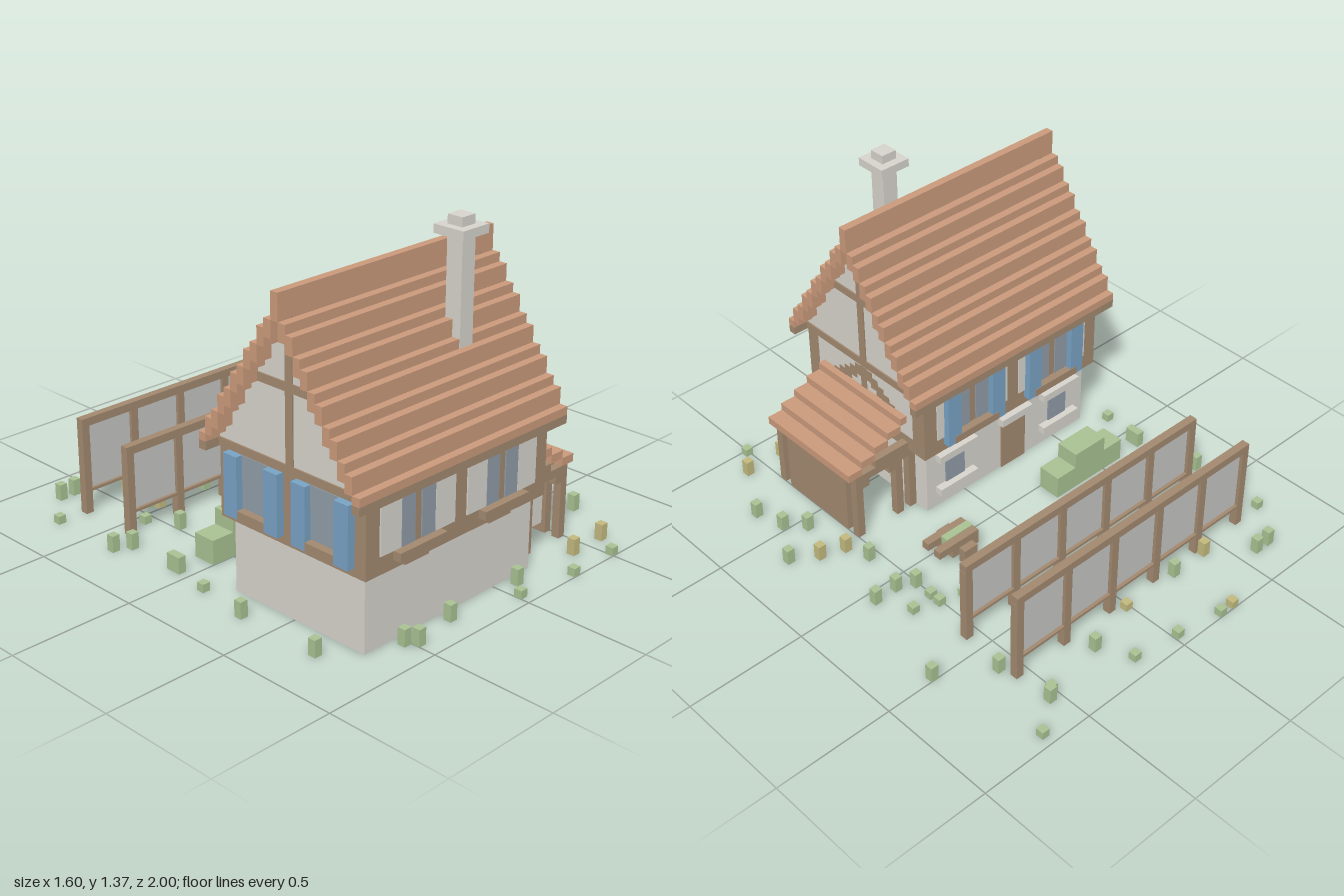
import * as THREE from 'three';

export function createModel() {
  const model = new THREE.Group();
  const paint = (name, color) => {
    const m = new THREE.MeshStandardMaterial({ color });
    m.name = name;
    return m;
  };
  const stone = paint('stone', 0xd6d3cb);
  const timber = paint('timber', 0xa2896f);
  const tile = paint('roofTile', 0xca9a7b);
  const glass = paint('glass', 0x909ca6);
  const blue = paint('shutterBlue', 0x78a2c4);
  const panel = paint('fencePanel', 0xc4c4c2);
  const green = paint('leaf', 0xa8c192);
  const straw = paint('straw', 0xc2b97e);

  // Box given by its limits on each axis
  const box = (name, mat, x0, x1, y0, y1, z0, z1) => {
    const mesh = new THREE.Mesh(new THREE.BoxGeometry(x1 - x0, y1 - y0, z1 - z0), mat);
    mesh.position.set((x0 + x1) / 2, (y0 + y1) / 2, (z0 + z1) / 2);
    mesh.name = name;
    model.add(mesh);
    return mesh;
  };
  const U = 1 / 30, T = 0.006, CX = -0.233, CZ = 0.517;

  // Stone ground floor: thin walls, open underneath
  box('frontBaseWall', stone, -0.667, 0.2, 0, 0.3, 0.833 - T, 0.833);
  box('backBaseWall', stone, -0.667, 0.2, 0, 0.3, 0.2, 0.2 + T);
  box('leftBaseWall', stone, 0.2 - T, 0.2, 0, 0.3, 0.2 + T, 0.833 - T);
  box('rightBaseWall', stone, -0.667, -0.667 + T, 0, 0.3, 0.2 + T, 0.833 - T);
  box('groundCeiling', stone, -0.661, 0.194, 0.294, 0.3, 0.206, 0.827);

  // Back door and stone-framed back windows
  box('backDoor', timber, -0.333, -0.2, 0, 0.235, 0.2 - T, 0.2);
  box('doorLintel', stone, -0.35, -0.183, 0.235, 0.268, 0.167, 0.2);
  for (const side of [-1, 1]) {
    const x = CX + side * 0.285;
    box('backWindow', glass, x - 0.05, x + 0.05, 0.1, 0.235, 0.2 - T, 0.2);
    box('windowLintel', stone, x - 0.1, x + 0.1, 0.235, 0.268, 0.167, 0.2);
    box('windowSill', stone, x - 0.1, x + 0.1, 0.067, 0.1, 0.167, 0.2);
  }

  // Timber upper floor
  box('upperFloor', timber, -0.7, 0.233, 0.3, 0.6, 0.167, 0.867);

  // Front and back: infill panels, glazing, sills and shutters
  for (const side of [-1, 1]) {
    const wx = CX + side * 0.217;
    for (const [z0, z1] of [[0.867, 0.867 + T], [0.167 - T, 0.167]]) {
      for (const s of [-1, 1]) {
        const a = wx + s * 0.135, b = wx + s * 0.05;
        box('infillPanel', stone, a - 0.05, a + 0.05, 0.37, 0.57, z0, z1);
        box('windowPane', glass, b - 0.033, b + 0.033, 0.37, 0.57, z0, z1);
      }
    }
    box('frontSill', timber, wx - 0.117, wx + 0.117, 0.333, 0.367, 0.867, 0.9);
    box('frontBracket', timber, wx - 0.06, wx + 0.06, 0.292, 0.3, 0.833, 0.867);
    box('backSill', timber, wx - 0.117, wx + 0.117, 0.333, 0.367, 0.133, 0.167);
    for (const s of [-1, 1]) {
      const a = wx + s * 0.117;
      box('backShutter', blue, a - U, a + U, 0.333, 0.57, 0.135, 0.167);
    }
  }

  // Right end: two shuttered windows
  for (const s of [-1, 1]) {
    const wz = CZ + s * 0.167;
    box('endWindow', glass, -0.7 - T, -0.7, 0.37, 0.57, wz - 0.067, wz + 0.067);
    box('endSill', timber, -0.733, -0.7, 0.333, 0.367, wz - 0.067, wz + 0.067);
    for (const t of [-1, 1]) {
      const z = wz + t * 0.1;
      box('endShutter', blue, -0.733, -0.7, 0.333, 0.57, z - U, z + U);
    }
  }

  // Left end: infill with diagonal braces
  box('endInfill', stone, 0.233, 0.233 + T / 2, 0.37, 0.57, 0.235, 0.8);
  box('endPost', timber, 0.233, 0.233 + T, 0.37, 0.57, 0.5, 0.533);
  for (const s of [-1, 1]) {
    for (let i = 0; i < 6; i++) {
      const z = CZ + s * (0.03 + i * U);
      box('endBrace', timber, 0.233, 0.233 + T, 0.515 - i * 0.022, 0.565 - i * 0.022, z - 0.02, z + 0.02);
    }
  }

  // Gable walls, flush with the upper floor, with their timber frame
  const gable = new THREE.Shape();
  gable.moveTo(-0.365, 0.6);
  gable.lineTo(0.365, 0.6);
  gable.lineTo(0, 1.15);
  gable.closePath();
  const gableGeometry = new THREE.ExtrudeGeometry(gable, { depth: 0.033, bevelEnabled: false });
  gableGeometry.rotateY(-Math.PI / 2);
  for (const [x, f] of [[0.233, 0.233], [-0.667, -0.7 - T]]) {
    const wall = new THREE.Mesh(gableGeometry, stone);
    wall.position.set(x, 0, CZ);
    wall.name = 'gableWall';
    model.add(wall);
    box('gablePost', timber, f, f + T, 0.6, 1.14, CZ - 0.017, CZ + 0.017);
    box('gableTie', timber, f, f + T, 0.87, 0.903, CZ - 0.18, CZ + 0.18);
    box('gableBeam', timber, f, f + T, 0.572, 0.605, CZ - 0.36, CZ + 0.36);
  }

  // Stepped roof
  for (const s of [-1, 1]) {
    for (let i = 0; i < 11; i++) {
      const top = 0.635 + Math.floor(i / 2) * 0.1 + (i % 2) * 0.065;
      const z = CZ + s * (0.367 - i * U);
      box('roofCourse', tile, -0.767, 0.3, i ? top - 0.067 : 0.603, top, z - U / 2, z + U / 2);
    }
    const z = CZ + s * 0.367;
    box('eaveBeam', timber, -0.767, 0.3, 0.57, 0.603, z - U / 2, z + U / 2);
  }
  box('roofRidge', tile, -0.767, 0.3, 1.135, 1.235, CZ - U / 2, CZ + U / 2);

  // Chimney
  box('chimneyShaft', stone, -0.067, 0, 0.88, 1.302, 0.634, 0.703);
  box('chimneyCap', stone, -0.1, 0.033, 1.302, 1.335, 0.6, 0.734);
  box('chimneyTop', stone, -0.067, 0, 1.335, 1.37, 0.634, 0.7);

  // Side porch: stepped roof, posts, side beams and low outer wall
  [[0.233, 0.267], [0.267, 0.333], [0.333, 0.4], [0.4, 0.467], [0.467, 0.533]].forEach(([a, b], i) => {
    box('porchRoofStep', tile, a, b, 0.435 - i * U, 0.468 - i * U, 0.267, 0.767);
  });
  for (const z of [0.267, 0.733]) {
    for (const x of [0.2, 0.267, 0.467]) {
      box('porchPost', timber, x, x + U, 0, 0.302, z, z + U);
    }
    box('porchBeam', timber, 0.233, 0.5, 0.268, 0.302, z, z + U);
    box('porchUpperBeam', timber, 0.233, 0.4, 0.302, 0.335, z, z + U);
    box('porchBrace', timber, 0.3, 0.333, 0.235, 0.268, z, z + U);
    box('porchBrace', timber, 0.433, 0.467, 0.235, 0.268, z, z + U);
  }
  box('porchLintel', timber, 0.467, 0.5, 0.268, 0.302, 0.3, 0.733);
  box('porchOuterWall', timber, 0.467, 0.5, 0, 0.268, 0.333, 0.7);
  box('porchScreen', stone, 0.333, 0.4, 0.08, 0.23, 0.7, 0.733);

  // Two long panelled fences
  for (const [z, h] of [[-0.433, 0.367], [-0.7, 0.4]]) {
    box('fenceTopRail', timber, -0.667, 0.565, h - U, h, z, z + U);
    box('fenceLowRail', timber, -0.667, 0.565, 0.09, 0.102, z, z + U);
    box('fencePanels', panel, -0.66, 0.56, 0.1, h - U, z + 0.014, z + 0.02);
    for (let i = 0; i < 6; i++) {
      const x = -0.667 + i * 0.24;
      box('fencePost', timber, x, x + U, 0, h - U, z, z + U);
    }
  }

  // Hedge behind the house
  box('hedgeLow', green, -0.6, -0.5, 0, 0.1, -0.1, 0);
  box('hedgeTall', green, -0.5, -0.335, 0, 0.168, -0.1, 0);
  box('hedgeLow', green, -0.335, -0.235, 0, 0.1, -0.1, 0);

  // Handcart with plants
  box('cartBed', timber, 0.2, 0.333, 0.033, 0.067, -0.1, 0);
  box('cartEnd', timber, 0.2, 0.21, 0.067, 0.098, -0.1, 0);
  box('cartPlants', green, 0.2, 0.333, 0.067, 0.104, -0.067, -0.033);
  for (const z of [-0.1, -0.033]) {
    box('cartSide', timber, 0.2, 0.333, 0.067, 0.1, z, z + U);
    box('cartHandle', timber, 0.333, 0.4, 0.067, 0.1, z, z + U);
  }
  for (const z of [-0.133, 0]) box('cartWheel', timber, 0.235, 0.3, 0, 0.067, z, z + U);

  // Grass tufts as [x, z]
  const lowGreen = [
    [-0.22, -0.983], [-0.02, -0.95], [0.18, -0.92], [0.51, -0.82], [0.68, -0.95], [-0.783, -0.685],
    [-0.55, -0.45], [0.415, -0.252], [0.51, -0.22], [0.51, -0.17], [0.61, -0.185], [-0.75, 0.115],
    [0.015, 0.95], [0.28, 0.983], [0.51, 0.983]
  ];
  const tallGreen = [
    [0.25, -0.785], [0.545, -0.85], [-0.65, -0.85], [-0.585, -0.85], [-0.25, -0.72], [-0.085, -0.62],
    [0.58, -0.62], [-0.45, -0.55], [-0.185, -0.52], [0.015, -0.55], [0.28, -0.55], [0.783, -0.485],
    [-0.783, -0.355], [-0.72, -0.32], [-0.485, -0.32], [0.28, -0.32], [0.415, -0.285], [0.51, -0.085],
    [0.58, -0.05], [0.68, -0.05], [-0.72, -0.085], [-0.72, -0.052], [-0.783, 0.35], [-0.783, 0.715],
    [-0.485, 0.915], [0.545, 0.15], [0.783, 0.35], [0.61, 0.45], [0.68, 0.52], [0.71, 0.65],
    [-0.52, 0.88], [-0.285, 0.88], [0.08, 0.88]
  ];
  const lowStraw = [[-0.285, -0.983], [0.015, -0.72], [0.28, -0.287]];
  const tallStraw = [[-0.42, -0.72], [-0.42, -0.52], [0.41, 0.88], [0.58, 0.88], [0.58, 0.25], [0.68, 0.285]];
  for (const [list, mat, h] of [[lowGreen, green, U], [tallGreen, green, 2 * U], [lowStraw, straw, U], [tallStraw, straw, 2 * U]]) {
    for (const [x, z] of list) box('grassTuft', mat, x - U / 2, x + U / 2, 0, h, z - U / 2, z + U / 2);
  }

  return model;
}
